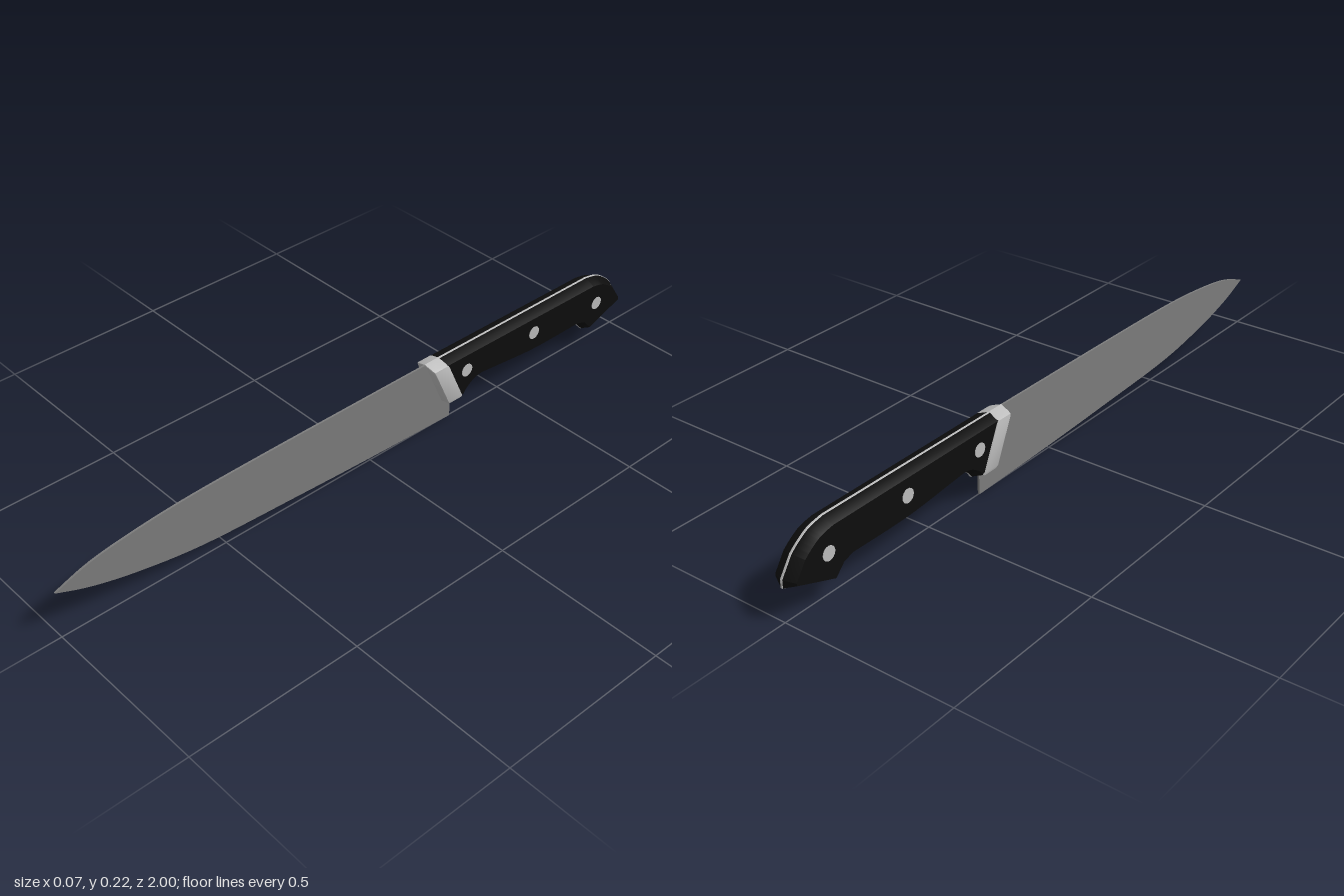
import * as THREE from 'three';
import { toCreasedNormals } from 'three/addons/utils/BufferGeometryUtils.js';

const material = (name, color) => {
  const m = new THREE.MeshStandardMaterial({ color });
  m.name = name;
  return m;
};
const pts = (list) => list.map(([z, y]) => new THREE.Vector2(z, y));

// Extrudes a (z, y) side outline across x, centred on x = 0
function sidePlate(shape, depth, bevel = {}) {
  const g = new THREE.ExtrudeGeometry(shape, {
    depth, curveSegments: 5, bevelEnabled: false, bevelSegments: 1, ...bevel,
  });
  g.rotateY(-Math.PI / 2);
  g.translate(depth / 2, 0, 0);
  return toCreasedNormals(g, 0.5);
}

function bladeShape() {
  const s = new THREE.Shape();
  s.moveTo(-0.302, 0);
  s.splineThru(pts([[0, 0.009], [0.25, 0.02], [0.56, 0.037], [0.757, 0.068], [0.9, 0.105], [1, 0.145]]));
  s.splineThru(pts([[0.9, 0.179], [0.77, 0.199], [0.6, 0.212], [0.35, 0.217], [0, 0.219], [-0.215, 0.22]]));
  s.lineTo(-0.302, 0.08);
  return s;
}

function handleShape() {
  const s = new THREE.Shape();
  s.moveTo(-0.225, 0.22);
  s.lineTo(-0.29, 0.068);
  s.lineTo(-0.333, 0.068);
  // finger grip
  s.splineThru(pts([[-0.35, 0.088], [-0.385, 0.105], [-0.445, 0.101], [-0.61, 0.086], [-0.8, 0.086]]));
  // hooked butt
  for (const [z, y] of [[-0.825, 0.078], [-0.858, 0.043], [-1, 0.096], [-1, 0.118], [-0.965, 0.17]]) s.lineTo(z, y);
  s.splineThru(pts([[-0.94, 0.19], [-0.905, 0.21], [-0.86, 0.22]]));
  return s;
}

// Collar cross-section swept along z and sheared to lean back
function bolsterGeometry() {
  const half = [[0, 0.222], [0.028, 0.212], [0.035, 0.208], [0.037, 0.2], [0.037, 0.083], [0.034, 0.075], [0, 0.065]];
  const left = half.slice(1, -1).reverse().map(([x, y]) => [-x, y]);
  const shape = new THREE.Shape(pts([...half, ...left]));
  const g = new THREE.ExtrudeGeometry(shape, {
    depth: 0.043, bevelThickness: 0.006, bevelSize: 0.003, bevelOffset: -0.003, bevelSegments: 2,
  });
  const p = g.attributes.position;
  for (let i = 0; i < p.count; i++) {
    p.setZ(i, p.getZ(i) - 0.249 - 0.45 * (0.222 - p.getY(i)));
  }
  g.computeVertexNormals();
  return toCreasedNormals(g, 0.6);
}

export function createModel() {
  const model = new THREE.Group();
  const bladeSteel = material('blade steel', 0x7c7c7c);
  const brightSteel = material('bright steel', 0xbcbcbc);
  const black = material('black handle', 0x0d0d0d);
  const add = (name, geometry, mat) => {
    const mesh = new THREE.Mesh(geometry, mat);
    mesh.name = name;
    model.add(mesh);
    return mesh;
  };

  add('blade', sidePlate(bladeShape(), 0.006), bladeSteel);
  add('bolster', bolsterGeometry(), brightSteel);

  // Handle slopes from the centre line to flat cheeks
  const grip = handleShape();
  add('handle', sidePlate(grip, 0.006, {
    bevelEnabled: true, bevelThickness: 0.031, bevelSize: 0.015, bevelOffset: -0.015,
  }), black);

  // Tang shows as a thin line around the handle
  add('tang', sidePlate(grip, 0.005, {
    bevelEnabled: true, bevelThickness: 0.001, bevelSize: 0.001,
  }), brightSteel);

  // Rivets pass through both cheeks
  for (const [z, y] of [[-0.334, 0.158], [-0.607, 0.158], [-0.88, 0.139]]) {
    const rivet = add('rivet', new THREE.CylinderGeometry(0.02, 0.02, 0.071, 16), brightSteel);
    rivet.rotation.z = Math.PI / 2;
    rivet.position.set(0, y, z);
  }
  return model;
}
